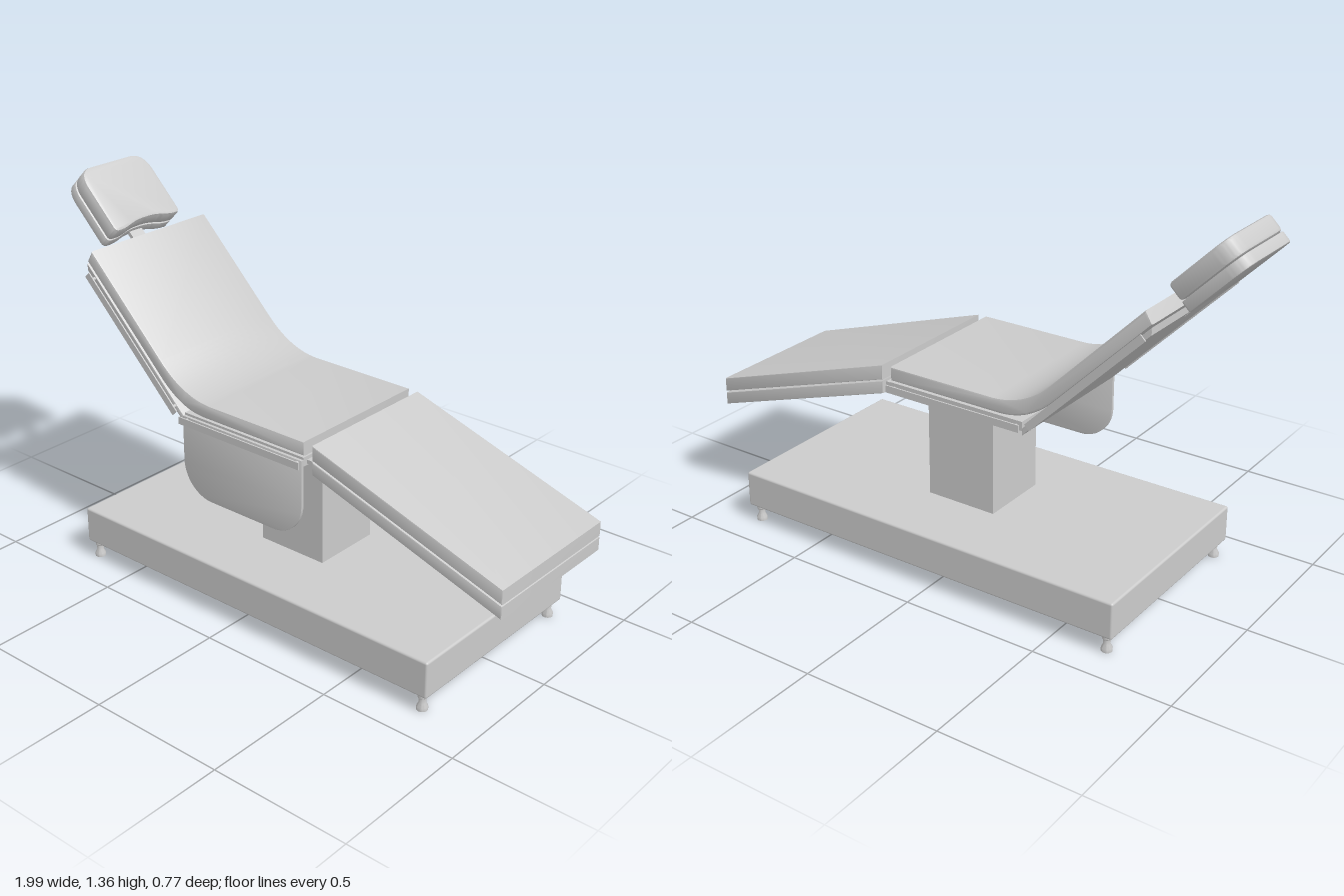
import * as THREE from 'three';
import { toCreasedNormals } from 'three/addons/utils/BufferGeometryUtils.js';
import { RoundedBoxGeometry } from 'three/addons/geometries/RoundedBoxGeometry.js';

const material = new THREE.MeshStandardMaterial({ color: 0xcccccc });

function add(parent, name, geometry, x = 0, y = 0, z = 0) {
  const mesh = new THREE.Mesh(geometry, material);
  mesh.name = name;
  mesh.position.set(x, y, z);
  parent.add(mesh);
  return mesh;
}

// Extrudes a side profile between z0 and z1, keeping the bevel inside the outline
function extrude(shape, z0, z1, bevel = 0.004) {
  const geometry = new THREE.ExtrudeGeometry(shape, {
    depth: z1 - z0 - 2 * bevel, curveSegments: 14,
    bevelEnabled: bevel > 0, bevelSize: bevel, bevelThickness: bevel,
    bevelOffset: -bevel, bevelSegments: 2,
  });
  geometry.translate(0, 0, z0 + bevel);
  return toCreasedNormals(geometry, 0.6);
}

function polygon(...points) {
  return new THREE.Shape(points.map(([x, y]) => new THREE.Vector2(x, y)));
}

// Flat side rail with a peg at each end, running from (x0, y0) to (x1, y1)
function sideRail(parent, name, x0, y0, x1, y1, z) {
  const rail = new THREE.Group();
  rail.name = name;
  const length = Math.hypot(x1 - x0, y1 - y0);
  const bar = add(rail, 'railBar', new THREE.BoxGeometry(length, 0.026, 0.005), (x0 + x1) / 2, (y0 + y1) / 2, z);
  bar.rotation.z = Math.atan2(y1 - y0, x1 - x0);
  for (const t of [0.04, 0.96]) {
    const inner = Math.sign(z) * 0.265;
    const peg = add(rail, 'railPeg', new THREE.CylinderGeometry(0.006, 0.006, Math.abs(z - inner), 12),
      x0 + (x1 - x0) * t, y0 + (y1 - y0) * t, (z + inner) / 2);
    peg.rotation.x = Math.PI / 2;
  }
  parent.add(rail);
}

// Headrest outline: rounded top corners and a shallow neck recess below
function headShape(w, h) {
  const s = new THREE.Shape();
  s.moveTo(-w + 0.02, -h);
  s.bezierCurveTo(-w / 2, -h, -w / 2, -h + 0.018, 0, -h + 0.018);
  s.bezierCurveTo(w / 2, -h + 0.018, w / 2, -h, w - 0.02, -h);
  s.quadraticCurveTo(w, -h, w, -h + 0.02);
  s.lineTo(w, h - 0.07);
  s.quadraticCurveTo(w - 0.004, h - 0.004, w - 0.06, h);
  s.lineTo(-w + 0.06, h);
  s.quadraticCurveTo(-w + 0.004, h - 0.004, -w, h - 0.07);
  s.lineTo(-w, -h + 0.02);
  s.quadraticCurveTo(-w, -h, -w + 0.02, -h);
  return s;
}

export function createModel() {
  const model = new THREE.Group();
  model.name = 'recliningChair';
  const Z0 = -0.28, Z1 = 0.277;

  // Base, feet and lifting column
  add(model, 'base', new RoundedBoxGeometry(1.535, 0.133, 0.772, 2, 0.008), 0.047, 0.1275, -0.001);
  const footProfile = [[0, 0], [0.019, 0], [0.019, 0.012], [0.012, 0.026], [0.012, 0.042], [0.016, 0.046], [0.016, 0.064]]
    .map(([r, y]) => new THREE.Vector2(r, y));
  const footGeometry = toCreasedNormals(new THREE.LatheGeometry(footProfile, 20), 0.6);
  for (const x of [-0.688, 0.782]) for (const z of [-0.358, 0.358]) add(model, 'foot', footGeometry, x, 0, z);
  add(model, 'column', new THREE.BoxGeometry(0.27, 0.45, 0.26), 0.047, 0.412, 0);

  // Seat and backrest frames
  add(model, 'seatFrame', new THREE.BoxGeometry(0.53, 0.032, Z1 - Z0), -0.04, 0.647, (Z0 + Z1) / 2);
  add(model, 'backFrame', extrude(polygon([-0.757, 1.092], [-0.757, 1.067], [-0.305, 0.615], [-0.305, 0.64]), Z0, Z1, 0.002));

  // One continuous cushion bending from backrest to seat
  const cushion = new THREE.Shape();
  cushion.moveTo(-0.733, 1.14);
  cushion.lineTo(-0.757, 1.1);
  cushion.lineTo(-0.42, 0.763);
  cushion.quadraticCurveTo(-0.327, 0.668, -0.215, 0.668);
  cushion.lineTo(0.225, 0.668);
  cushion.lineTo(0.225, 0.718);
  cushion.lineTo(-0.19, 0.718);
  cushion.quadraticCurveTo(-0.315, 0.722, -0.415, 0.822);
  cushion.lineTo(-0.733, 1.14);
  add(model, 'seatAndBackCushion', extrude(cushion, Z0, Z1, 0.007));

  // Apron panel with rounded lower corners, on the front side only
  const apron = new THREE.Shape();
  apron.moveTo(-0.305, 0.655);
  apron.lineTo(-0.305, 0.49);
  apron.absarc(-0.18, 0.49, 0.125, Math.PI, 1.5 * Math.PI);
  apron.absarc(0.1, 0.49, 0.125, 1.5 * Math.PI, 2 * Math.PI);
  apron.lineTo(0.225, 0.655);
  add(model, 'apronPanel', extrude(apron, 0.277, 0.288, 0.001));

  // Side rails
  for (const z of [-0.296, 0.296]) sideRail(model, 'backRail', -0.738, 1.061, -0.335, 0.658, z);
  sideRail(model, 'seatRail', -0.305, 0.645, 0.23, 0.645, 0.307);
  sideRail(model, 'seatRail', -0.305, 0.645, 0.23, 0.645, -0.298);

  // Leg rest: cushion above a frame, hinged to the seat
  add(model, 'legCushion', extrude(polygon([0.26, 0.663], [1, 0.426], [1, 0.477], [0.26, 0.716]), Z0, Z1));
  add(model, 'legFrame', extrude(polygon([0.26, 0.612], [1, 0.374], [1, 0.42], [0.26, 0.658]), Z0, Z1));
  add(model, 'legHinge', new THREE.BoxGeometry(0.05, 0.014, 0.52), 0.242, 0.643, 0);

  // Headrest, leaning with the backrest
  const head = new THREE.Group();
  head.name = 'headrest';
  const a = Math.SQRT1_2;
  head.applyMatrix4(new THREE.Matrix4().makeBasis(
    new THREE.Vector3(0, 0, -1), new THREE.Vector3(-a, a, 0), new THREE.Vector3(a, a, 0)));
  head.position.set(-0.863, 1.237, -0.002);
  add(head, 'headCushion', extrude(headShape(0.158, 0.131), -0.012, 0.052, 0.011));
  add(head, 'headBase', extrude(headShape(0.158, 0.131), -0.053, -0.014, 0.004));
  add(head, 'neckBar', new THREE.BoxGeometry(0.06, 0.13, 0.014), 0, -0.17, -0.04);
  model.add(head);

  return model;
}
